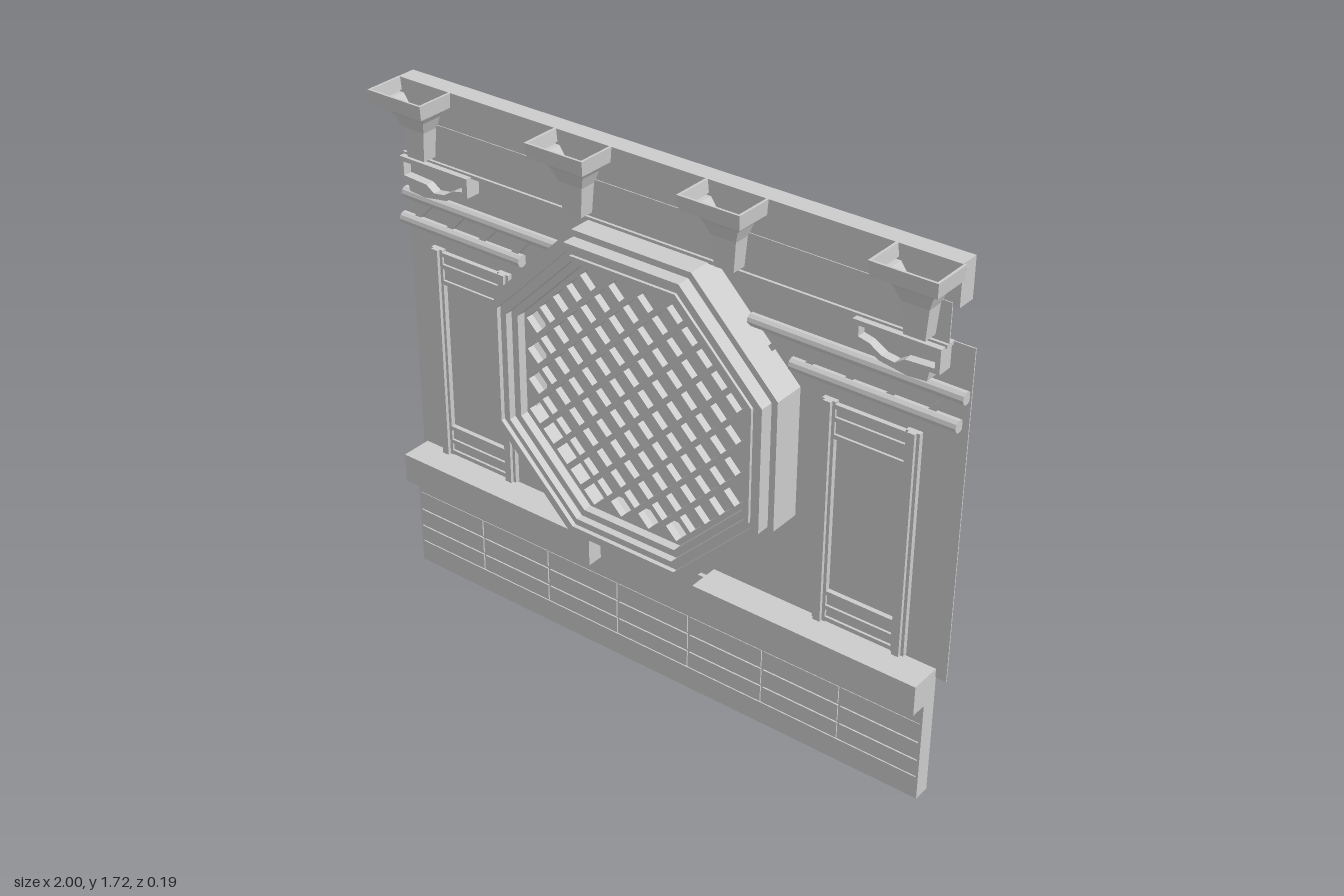
import * as THREE from 'three';

const mat = new THREE.MeshStandardMaterial({ color: 0xcccccc, flatShading: true, side: THREE.DoubleSide });

function add(parent, name, geometry) {
  const mesh = new THREE.Mesh(geometry, mat);
  mesh.name = name;
  parent.add(mesh);
  return mesh;
}

// Box given by its limits on each axis
function box(parent, name, x0, x1, y0, y1, z0, z1) {
  const m = add(parent, name, new THREE.BoxGeometry(x1 - x0, y1 - y0, z1 - z0));
  m.position.set((x0 + x1) / 2, (y0 + y1) / 2, (z0 + z1) / 2);
  return m;
}

function group(parent, name) {
  const g = new THREE.Group();
  g.name = name;
  parent.add(g);
  return g;
}

const toPoints = (list) => list.map(([x, y]) => new THREE.Vector2(x, y));

// Flat plate with holes, from z0 to z1
function plate(parent, name, outline, holes, z0, z1) {
  const shape = new THREE.Shape(toPoints(outline));
  holes.forEach((h) => shape.holes.push(new THREE.Path(toPoints(h))));
  const geo = new THREE.ExtrudeGeometry(shape, { depth: z1 - z0, bevelEnabled: false });
  geo.translate(0, 0, z0);
  return add(parent, name, geo);
}

// Regular octagon with flat top; a is the distance from centre to side
function octagon(cx, cy, a) {
  const r = a / Math.cos(Math.PI / 8);
  return Array.from({ length: 8 }, (_, i) => {
    const t = Math.PI / 8 + (i * Math.PI) / 4;
    return [cx + r * Math.cos(t), cy + r * Math.sin(t)];
  });
}

// Staggered diamond holes whose corners all pass the inside test
function diamonds(cx, cy, pitch, half, reach, inside) {
  const holes = [];
  const n = Math.ceil((reach / pitch) * 2);
  for (let i = -n; i <= n; i++) {
    for (let j = -n; j <= n; j++) {
      if ((i + j) % 2) continue;
      const x = (i * pitch) / 2, y = (j * pitch) / 2;
      const d = [[x + half, y], [x, y + half], [x - half, y], [x, y - half]];
      if (d.every(([u, v]) => inside(u, v))) holes.push(d.map(([u, v]) => [u + cx, v + cy]));
    }
  }
  return holes;
}

// Hollow corbel made from rectangular cross-sections, open at the top
function corbelGeometry() {
  const back = -0.035;
  // height, half width, front z
  const sections = [
    [1.495, 0.001, -0.03], [1.495, 0.033, 0.02], [1.59, 0.042, 0.025], [1.63, 0.058, 0.04],
    [1.668, 0.085, 0.06], [1.668, 0.1, 0.09], [1.715, 0.104, 0.097],
    [1.715, 0.096, 0.089], [1.676, 0.092, 0.082],
  ];
  const pos = [], index = [];
  sections.forEach(([y, w, f], s) => {
    pos.push(-w, y, back, -w, y, f, w, y, f, w, y, back);
    if (s === 0) return;
    for (let i = 0; i < 4; i++) {
      const a = (s - 1) * 4 + i, b = (s - 1) * 4 + ((i + 1) % 4);
      index.push(a, b, b + 4, a, b + 4, a + 4);
    }
  });
  const geo = new THREE.BufferGeometry();
  geo.setAttribute('position', new THREE.Float32BufferAttribute(pos, 3));
  geo.setIndex(index);
  geo.computeVertexNormals();
  return geo;
}

export function createModel() {
  const model = new THREE.Group();
  model.name = 'wallSection';
  const L = -0.975, R = 0.965;

  // Base: thin open-backed front with brick plates, end and bottom flanges
  const base = group(model, 'base');
  const zb = -0.014, gap = 0.004;
  box(base, 'grooveBacking', L, R, 0.06, 0.29, -0.009, -0.005);
  box(base, 'bottomBand', L, R, 0, 0.076, zb, 0);
  box(base, 'upperBand', L, R, 0.272, 0.34, zb, 0);
  box(base, 'centreBand', -0.205, 0.19, 0.34, 0.44, zb, 0);
  const joints = [L, -0.695, -0.42, -0.14, 0.135, 0.41, 0.685, R];
  const rows = [0.076, 0.14, 0.205, 0.272];
  for (let r = 0; r < 3; r++) {
    for (let c = 0; c < 7; c++) {
      box(base, 'brick', joints[c] + (c ? gap : 0), joints[c + 1] - (c < 6 ? gap : 0),
        rows[r] + gap, rows[r + 1] - (r < 2 ? gap : 0.002), zb, 0);
    }
  }
  box(base, 'bottomFlange', L, R, 0, 0.008, -0.055, 0);
  box(base, 'leftFlange', R - 0.008, R, 0, 0.44, -0.055, 0);
  box(base, 'rightFlange', L, L + 0.008, 0, 0.44, -0.055, 0);

  // Ledges: hollow, open towards the back
  for (const [x0, x1] of [[L, -0.205], [0.19, R]]) {
    const ledge = group(model, 'ledge');
    box(ledge, 'ledgeFront', x0, x1, 0.34, 0.44, 0.047, 0.055);
    box(ledge, 'ledgeTop', x0, x1, 0.432, 0.44, -0.055, 0.055);
    box(ledge, 'ledgeUnderside', x0, x1, 0.34, 0.348, -0.014, 0.055);
    box(ledge, 'ledgeEnd', x0, x0 + 0.008, 0.34, 0.44, -0.014, 0.055);
    box(ledge, 'ledgeEnd', x1 - 0.008, x1, 0.34, 0.44, -0.014, 0.055);
  }

  // Main wall sheet and the sheet behind the corbels
  box(model, 'wall', -0.99, 1, 0.41, 1.48, -0.056, -0.052);
  box(model, 'friezeSheet', -0.97, 0.935, 1.47, 1.6, -0.033, -0.029);
  box(model, 'friezeSill', -0.97, 0.935, 1.47, 1.482, -0.055, -0.02);

  // Side panels: posts, rungs and a diamond grille at the rear
  for (const cx of [-0.735, 0.71]) {
    const panel = group(model, 'sidePanel');
    for (const s of [-1, 1]) {
      const x = cx + s * 0.134;
      box(panel, 'post', x - 0.022, x + 0.022, 0.445, 1.18, -0.063, -0.036);
      box(panel, 'postRidge', x - 0.012, x + 0.012, 0.445, 1.18, -0.036, -0.025);
    }
    for (const y of [0.455, 0.495, 0.545, 1.07, 1.125, 1.165]) {
      box(panel, 'rung', cx - 0.112, cx + 0.112, y - 0.007, y + 0.007, -0.052, -0.036);
    }
    box(panel, 'endPlate', cx - 0.112, cx + 0.112, 0.455, 0.545, -0.052, -0.044);
    box(panel, 'endPlate', cx - 0.112, cx + 0.112, 1.07, 1.165, -0.052, -0.044);
    const w = 0.112, h = 0.262, cy = 0.808;
    const holes = diamonds(cx, cy, 0.07, 0.027, h, (x, y) => Math.abs(x) < w - 0.004 && Math.abs(y) < h - 0.004);
    plate(panel, 'grille', [[cx - w, cy - h], [cx + w, cy - h], [cx + w, cy + h], [cx - w, cy + h]], holes, -0.062, -0.056);
  }

  // Octagonal window: stepped rings around a diamond lattice
  const oct = group(model, 'octagonWindow');
  const ox = -0.038, oy = 0.963;
  const rings = [[0.51, 0.47, 0.055], [0.49, 0.465, 0.1], [0.466, 0.45, 0.085], [0.451, 0.435, 0.095], [0.436, 0.412, 0.07]];
  for (const [outer, inner, z] of rings) {
    plate(oct, 'ring', octagon(ox, oy, outer), [octagon(ox, oy, inner)], -0.052, z);
  }
  const limit = 0.408;
  const inOct = (x, y) => Math.max(Math.abs(x), Math.abs(y), (Math.abs(x) + Math.abs(y)) * Math.SQRT1_2) < limit;
  plate(oct, 'lattice', octagon(ox, oy, 0.414), diamonds(ox, oy, 0.104, 0.039, limit, inOct), 0.015, 0.04);

  // Pairs of pipes with slanted struts on either side of the window
  for (const [side, lower, upper] of [[-1, [-1, -0.52], [-0.985, -0.36]], [1, [0.45, 0.98], [0.31, 0.995]]]) {
    const rail = group(model, side < 0 ? 'rightRail' : 'leftRail');
    for (const [[x0, x1], y] of [[lower, 1.248], [upper, 1.338]]) {
      const pipe = add(rail, 'pipe', new THREE.CylinderGeometry(0.02, 0.02, x1 - x0, 10));
      pipe.rotation.z = Math.PI / 2;
      pipe.position.set((x0 + x1) / 2, y, -0.038);
    }
    const start = side < 0 ? -0.915 : 0.4;
    for (let i = 0; i < 5; i++) {
      const strut = add(rail, 'strut', new THREE.BoxGeometry(0.018, 0.11, 0.018));
      strut.position.set(start + i * 0.13, 1.293, -0.045);
      strut.rotation.z = -0.75;
    }
  }

  // Curved framed brackets under the frieze
  const outline = [[-0.965, 1.475], [-0.695, 1.475], [-0.695, 1.412], [-0.74, 1.405], [-0.78, 1.38],
    [-0.83, 1.372], [-0.87, 1.365], [-0.93, 1.37], [-0.935, 1.4], [-0.965, 1.4]];
  const opening = [[-0.95, 1.46], [-0.715, 1.46], [-0.715, 1.428], [-0.75, 1.42], [-0.79, 1.396],
    [-0.83, 1.39], [-0.86, 1.41], [-0.95, 1.415]];
  for (const side of [-1, 1]) {
    const flip = ([x, y]) => [side < 0 ? x : -0.035 - x, y];
    const bracket = group(model, 'bracket');
    plate(bracket, 'bracketFrame', outline.map(flip), [opening.map(flip)], -0.052, 0);
    plate(bracket, 'bracketPanel', outline.map(flip), [], -0.052, -0.03);
  }

  // Top beam: channel open at the back with rims
  const beam = group(model, 'topBeam');
  const bl = -0.98, br = 0.955;
  box(beam, 'beamFront', bl, br, 1.59, 1.715, -0.04, -0.032);
  for (const [y0, y1] of [[1.59, 1.598], [1.707, 1.715]]) box(beam, 'beamFlange', bl, br, y0, y1, -0.095, -0.032);
  for (const [y0, y1] of [[1.59, 1.612], [1.693, 1.715]]) box(beam, 'beamRim', bl, br, y0, y1, -0.095, -0.085);
  for (const x of [bl, br - 0.01]) box(beam, 'beamEnd', x, x + 0.01, 1.59, 1.715, -0.095, -0.032);

  // Corbels along the beam
  const corbel = corbelGeometry();
  for (const x of [-0.877, -0.275, 0.257, 0.86]) {
    add(model, 'corbel', corbel).position.x = x;
    plate(model, 'corbelBackPlate', [[x - 0.1, 1.7], [x + 0.1, 1.7], [x + 0.045, 1.605], [x - 0.045, 1.605]], [], -0.048, -0.04);
  }
  return model;
}
